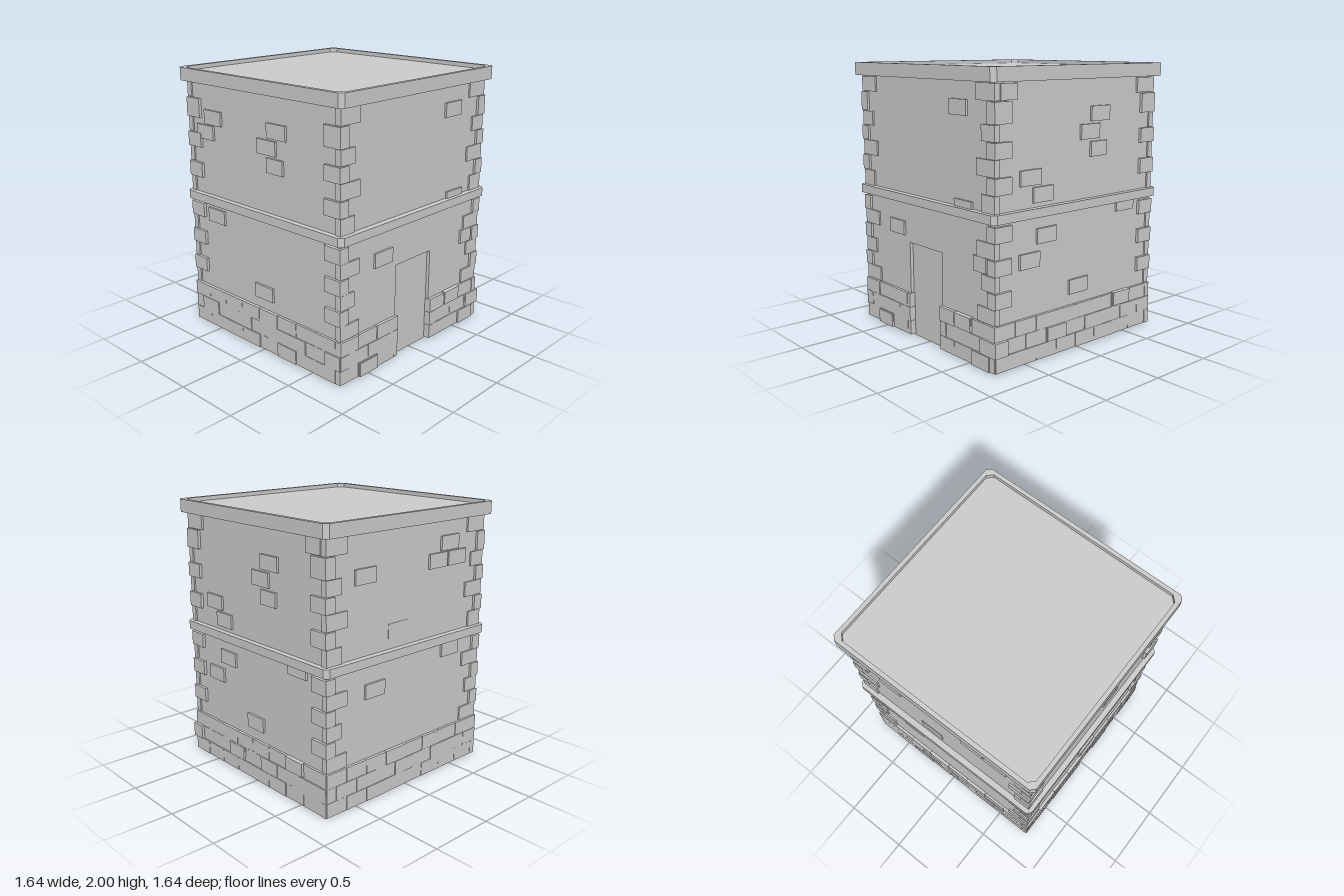
import * as THREE from 'three';

const stone = new THREE.MeshStandardMaterial({ color: 0xcccccc, flatShading: true });
const thin = new THREE.MeshStandardMaterial({ color: 0xcccccc, flatShading: true, side: THREE.DoubleSide });
const WX = 0.762, WZ = 0.758;      // wall planes
const COURSE = 0.106;              // height of one brick course

let seed = 7;
function rand() {
  seed = (seed * 16807) % 2147483647;
  return seed / 2147483647;
}

// box given by its minimum and maximum corners
function block(name, x0, x1, y0, y1, z0, z1) {
  const m = new THREE.Mesh(new THREE.BoxGeometry(x1 - x0, y1 - y0, z1 - z0), stone);
  m.name = name;
  m.position.set((x0 + x1) / 2, (y0 + y1) / 2, (z0 + z1) / 2);
  return m;
}

// square with cut corners
function octagon(Type, r, c) {
  const s = new Type();
  s.setFromPoints([
    [r, c - r], [r, r - c], [r - c, r], [c - r, r],
    [-r, r - c], [-r, c - r], [c - r, -r], [r - c, -r],
  ].map(([x, y]) => new THREE.Vector2(x, y)));
  s.closePath();
  return s;
}

// horizontal slab or ring with cut corners
function slab(name, y0, y1, r, c, hole) {
  const s = octagon(THREE.Shape, r, c);
  if (hole) s.holes.push(octagon(THREE.Path, hole, 0.04));
  const g = new THREE.ExtrudeGeometry(s, { depth: y1 - y0, bevelEnabled: false });
  g.rotateX(-Math.PI / 2).translate(0, y0, 0);
  const m = new THREE.Mesh(g, stone);
  m.name = name;
  return m;
}

// faces turned so that local +z points outward; u runs to the viewer's right
// loose bricks: [u centre, y centre, width, height, how far it stands out]
const B = 0.185, H = 0.105, P = 0.016;
const faces = [
  { name: 'front', turn: 0, half: WX, out: WZ, bricks: [
    [0.398, 1.732, B, H, P], [0.448, 1.07, B, H, P], [-0.342, 0.81, B, H, P],
    [0.62, 0.72, 0.13, H, P], [-0.505, 0.06, 0.18, 0.1, 0.032],
    [0.448, 0.28, 0.175, 0.1, 0.032], [0.64, 0.06, 0.18, H, 0.03], [0.72, 0.17, 0.16, H, 0.032]] },
  { name: 'right', turn: Math.PI / 2, half: WZ, out: WX, bricks: [
    [0.198, 1.663, B, H, P], [0.098, 1.542, B, H, P], [0.185, 1.418, 0.16, H, P],
    [-0.458, 1.278, B, H, P], [-0.345, 1.157, 0.18, H, P], [-0.31, 0.875, 0.18, H, P],
    [-0.465, 0.72, 0.18, H, P], [0.478, 0.99, B, H, P], [0.003, 0.46, B, H, P],
    [-0.65, 1.842, 0.14, H, P], [0.65, 1.842, 0.14, H, P],
    [-0.22, 0.17, 0.18, 0.1, 0.032], [0.448, 0.28, 0.175, 0.1, 0.032]] },
  { name: 'back', turn: Math.PI, half: WX, out: WZ, bricks: [
    [-0.43, 1.62, B, H, P], [0.4, 1.74, B, H, P], [0.28, 1.625, B, H, P],
    [0.478, 1.625, B, H, P], [-0.11, 1.2, B, H, 0.004], [-0.33, 0.82, B, H, P],
    [0.44, 0.95, B, H, P]] },
  { name: 'left', turn: -Math.PI / 2, half: WZ, out: WX, bricks: [
    [0.18, 1.66, B, H, P], [0.08, 1.54, B, H, P], [0.16, 1.418, 0.16, H, P],
    [-0.49, 1.66, B, H, P], [-0.58, 1.545, B, H, P], [-0.49, 0.92, B, H, P],
    [0.02, 0.46, B, H, P]] },
];

const DOOR_L = -0.197, DOOR_R = 0.19, DOOR_H = 0.71, RECESS = 0.025;

function buildWall(face) {
  const wall = new THREE.Group();
  wall.name = face.name + 'Wall';
  wall.rotation.y = face.turn;
  const isFront = face.name === 'front';

  // wall sheet, notched for the doorway on the front
  const pts = [[-face.half, 0.01], [face.half, 0.01], [face.half, 1.91], [-face.half, 1.91]];
  if (isFront) pts.splice(1, 0, [DOOR_L, 0.01], [DOOR_L, DOOR_H], [DOOR_R, DOOR_H], [DOOR_R, 0.01]);
  const sheet = new THREE.Mesh(
    new THREE.ShapeGeometry(new THREE.Shape(pts.map(([x, y]) => new THREE.Vector2(x, y)))), thin);
  sheet.name = face.name + 'WallSheet';
  sheet.position.z = face.out;
  wall.add(sheet);

  // loose bricks pushed through the sheet
  for (const [u, y, w, h, p] of face.bricks) {
    wall.add(block('looseBrick', u - w / 2, u + w / 2, y - h / 2, y + h / 2, face.out - 0.08, face.out + p));
  }

  // three staggered courses of base bricks
  const end = face.half + 0.017, pitch = 0.19;
  for (let row = 0; row < 3; row++) {
    const y = 0.01 + row * COURSE;
    for (let k = -1; k < 9; k++) {
      const start = -0.6 + (k - 1) * pitch + (row % 2 ? pitch / 2 : 0);
      let spans = [[Math.max(start, -end), Math.min(start + pitch, end)]];
      if (isFront) {
        const [a, b] = spans[0];
        spans = [[a, Math.min(b, -0.185)], [Math.max(a, 0.185), b]];
      }
      for (const [a, b] of spans) {
        if (b - a < 0.02) continue;
        const proud = face.out + 0.016 + rand() * 0.009;
        wall.add(block('baseBrick', a + 0.001, b - 0.001, y + 0.001, y + COURSE - 0.001, face.out - 0.08, proud));
      }
    }
  }
  return wall;
}

// recessed door panel with its reveals
function buildDoor() {
  const door = new THREE.Group();
  door.name = 'door';
  const z0 = WZ - RECESS;
  door.add(block('doorPanel', DOOR_L, DOOR_R, 0, DOOR_H, z0 - 0.01, z0));
  door.add(block('leftReveal', DOOR_R, DOOR_R + 0.004, 0.01, DOOR_H, z0, WZ));
  door.add(block('rightReveal', DOOR_L - 0.004, DOOR_L, 0.01, DOOR_H, z0, WZ));
  door.add(block('topReveal', DOOR_L, DOOR_R, DOOR_H, DOOR_H + 0.004, z0, WZ));
  return door;
}

// interlocking corner stones, alternately long on the front/back and on the sides
function buildQuoins() {
  const group = new THREE.Group();
  group.name = 'cornerStones';
  const storeys = [
    [1.9, 1.785, 1.64, 1.53, 1.42, 1.305, 1.19, 1.07],
    [0.99, 0.88, 0.77, 0.66, 0.55, 0.44, 0.33],
  ];
  storeys.forEach((levels, s) => {
    for (let i = 0; i < levels.length - 1; i++) {
      const sideLong = (i + s) % 2 === 1;
      const xi = sideLong ? 0.70 : (i % 4 < 2 ? 0.59 : 0.64);
      const zi = sideLong ? 0.63 : 0.725;
      const xo = sideLong ? 0.783 : 0.773, zo = sideLong ? 0.775 : 0.77;
      for (const sx of [-1, 1]) for (const sz of [-1, 1]) {
        const q = block('cornerStone', xi, xo, levels[i + 1] + 0.002, levels[i] - 0.002, zi, zo);
        q.position.x *= sx;
        q.position.z *= sz;
        group.add(q);
      }
    }
  });
  return group;
}

export function createModel() {
  const tower = new THREE.Group();
  tower.name = 'stoneTower';
  for (const face of faces) tower.add(buildWall(face));
  tower.add(buildDoor(), buildQuoins());

  // string course, roof slab and raised rim
  tower.add(slab('middleBand', 1.01, 1.073, 0.803, 0.03, 0.75));
  tower.add(slab('roofSlab', 1.905, 1.97, 0.818, 0.03));
  tower.add(slab('roofRim', 1.97, 2.0, 0.818, 0.03, 0.787));
  return tower;
}
